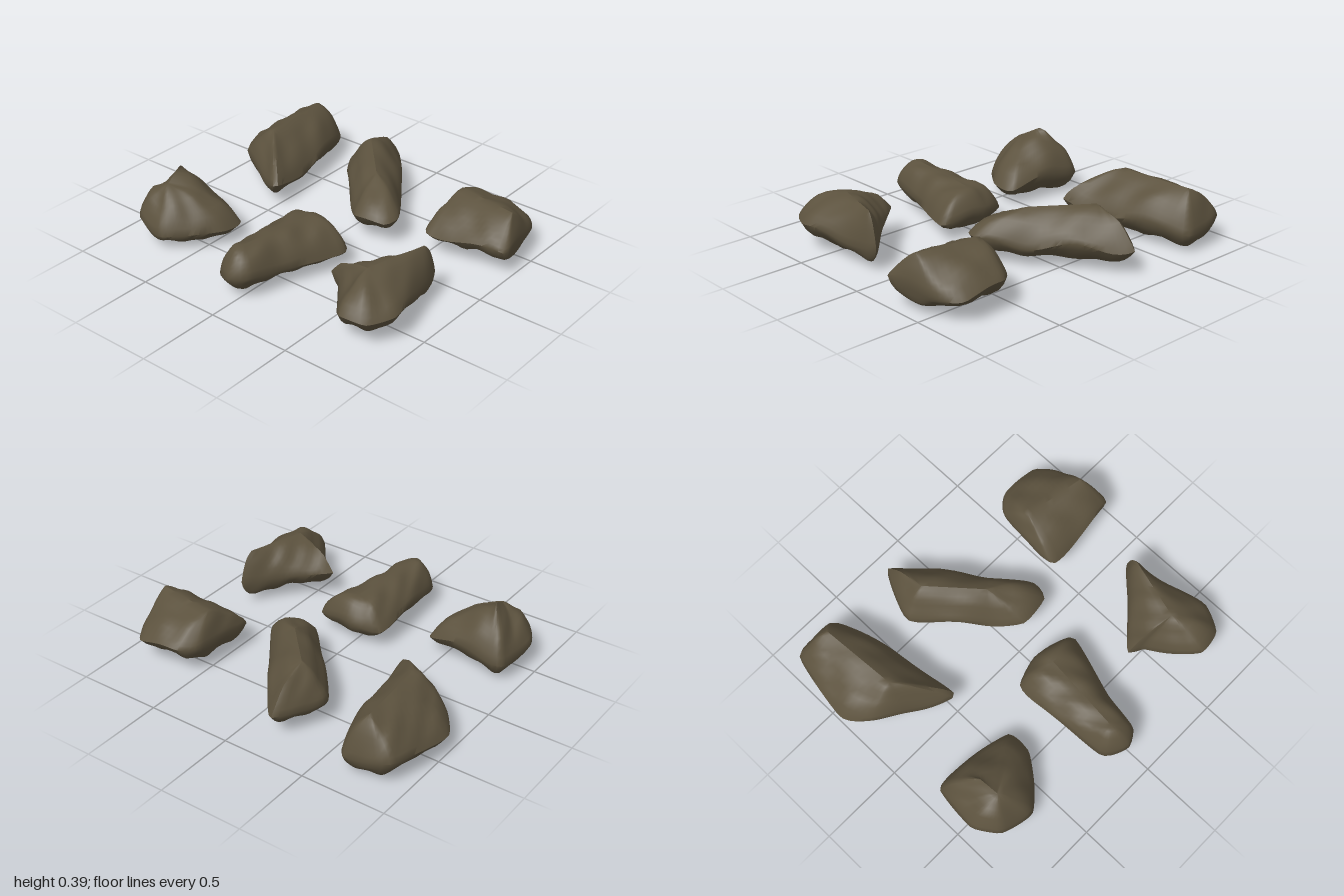
import * as THREE from 'three';
import { toCreasedNormals } from 'three/addons/utils/BufferGeometryUtils.js';

const stone = new THREE.MeshStandardMaterial({ color: 0x5c523e });
stone.name = 'brown stone';

// Gentle dents and lumps
const lump = (x, y, z) =>
  Math.sin(19 * x + 7 * z + 5 * y) * Math.sin(17 * z - 9 * x + 11 * y) + 0.5 * Math.sin(37 * x - 29 * z + 23 * y);

// A boulder swept from its underside, out to a rounded plan outline [x, z]
// (clockwise from above), then up to a crest line between two points [x, y, z].
function makeRock(name, base, bulge, crest, outline) {
  const ridge = new THREE.Line3(...crest.map((p) => new THREE.Vector3(...p)));
  const corners = outline.map(([x, z]) => new THREE.Vector3(x, base, z));
  const n = 56, down = 6, up = 8;
  const rim = new THREE.CatmullRomCurve3(corners, true, 'catmullrom', 0.25).getSpacedPoints(n).slice(0, n);
  const positions = [], index = [];
  const target = new THREE.Vector3();

  for (let k = -down; k <= up; k++) {
    const t = k < 0 ? -k / down : k / up;
    const inset = Math.pow(t, 1.3);
    const rise = 1 - Math.pow(1 - t, k < 0 ? 2.2 : bulge);
    for (const p of rim) {
      ridge.closestPointToPoint(p, true, target);
      const girth = THREE.MathUtils.lerp(base, target.y, 0.36) + 0.025 * Math.sin(11 * p.x + 8 * p.z);
      const x = THREE.MathUtils.lerp(p.x, target.x, inset);
      const z = THREE.MathUtils.lerp(p.z, target.z, inset);
      const y = THREE.MathUtils.lerp(girth, k < 0 ? base : target.y, rise);
      positions.push(x, y + 0.012 * Math.sin(Math.PI * t) * lump(x, y, z), z);
    }
  }
  for (let k = 0; k < down + up; k++) {
    for (let i = 0; i < n; i++) {
      const a = k * n + i, b = k * n + (i + 1) % n;
      index.push(b, a, a + n, b, a + n, b + n);
    }
  }
  const geometry = new THREE.BufferGeometry();
  geometry.setAttribute('position', new THREE.Float32BufferAttribute(positions, 3));
  geometry.setIndex(index);
  const mesh = new THREE.Mesh(toCreasedNormals(geometry, 0.9), stone);
  mesh.name = name;
  return mesh;
}

export function createModel() {
  const group = new THREE.Group();
  group.name = 'rocks';
  group.add(
    // Long leaning slab
    makeRock('rockBackLeft', 0.02, 1.3, [[-.74, .345, -.76], [-.71, .35, -.3]],
      [[-.92, -.83], [-.65, -.86], [-.59, -.74], [-.52, -.47], [-.47, -.04], [-.72, -.16], [-.9, -.27], [-1, -.42]]),
    // Diagonal wedge
    makeRock('rockBackMiddle', 0.055, 1.35, [[-.19, .35, -.58], [.06, .32, -.31]],
      [[-.2, -.86], [.02, -.61], [.31, -.2], [.29, -.08], [.1, -.06], [-.13, -.3], [-.34, -.56]]),
    // Block with a sideways ridge
    makeRock('rockBackRight', 0.06, 1.25, [[.55, .33, -.46], [.92, .33, -.4]],
      [[.5, -.6], [.6, -.7], [.85, -.7], [.93, -.6], [.99, -.28], [.95, -.23], [.49, -.2]]),
    // Tall peak
    makeRock('rockFrontLeft', 0.01, 1.5, [[-.77, .44, .37], [-.74, .34, .56]],
      [[-.91, .28], [-.8, .26], [-.42, .32], [-.41, .47], [-.52, .62], [-.65, .73], [-.85, .69], [-.94, .55]]),
    // Rounded tapering boulder with a broad top
    makeRock('rockFrontMiddle', 0.05, 2.1, [[.02, .275, .24], [-.03, .29, .72]],
      [[-.17, .17], [0, .12], [.25, .19], [.13, .57], [.08, .8], [-.02, .86], [-.15, .77], [-.19, .3]]),
    // Craggy mound with a steep spur at the back
    makeRock('rockFrontRight', 0.05, 1.4, [[.76, .34, .19], [.66, .335, .54]],
      [[.78, .11], [.83, .3], [.9, .6], [.82, .76], [.66, .78], [.46, .53], [.38, .48], [.6, .28]]),
  );
  return group;
}
